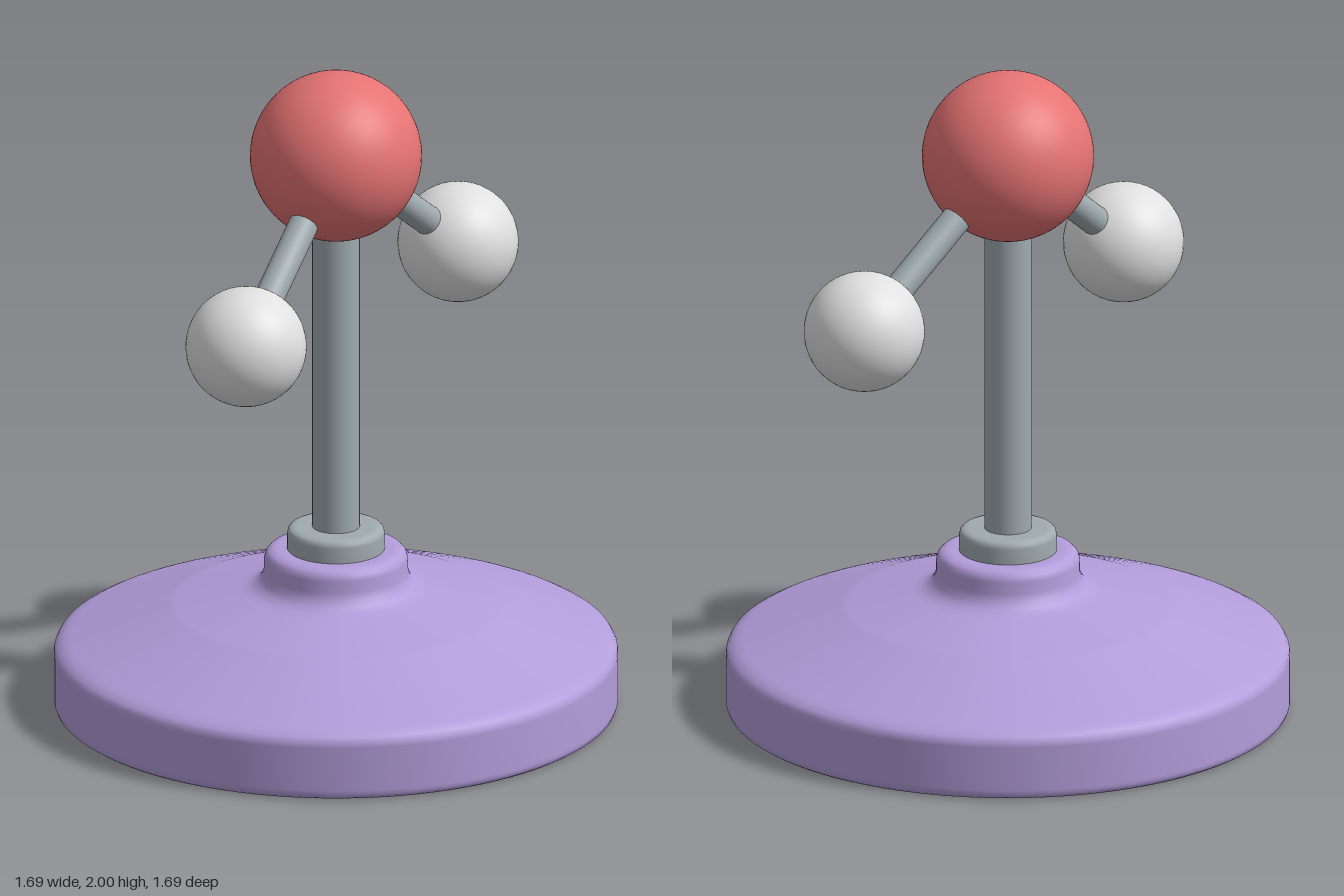
import * as THREE from 'three';

const mat = (name, color) => new THREE.MeshStandardMaterial({ name, color });

export function createModel() {
  const model = new THREE.Group();
  model.name = 'moleculeOnStand';

  const purple = mat('purple', 0xb39ddb);
  const metal = mat('metalGrey', 0xa0abb0);
  const red = mat('red', 0xe57373);
  const white = mat('white', 0xe0e0e0);

  const add = (name, geometry, material, position = [0, 0, 0]) => {
    const mesh = new THREE.Mesh(geometry, material);
    mesh.name = name;
    mesh.position.set(...position);
    model.add(mesh);
    return mesh;
  };
  const lathe = (points) =>
    new THREE.LatheGeometry(points.map(([r, y]) => new THREE.Vector2(r, y)), 96);

  // Wide base with a soft rim, sloping shoulder and short neck
  add('base', lathe([
    [0, 0], [0.82, 0], [0.83, 0.002], [0.839, 0.008], [0.843, 0.02],
    [0.843, 0.03], [0.843, 0.165], [0.841, 0.18], [0.832, 0.195], [0.81, 0.207],
    [0.79, 0.215], [0.5, 0.319], [0.48, 0.325], [0.285, 0.37], [0.26, 0.377],
    [0.237, 0.389], [0.222, 0.407], [0.215, 0.43], [0.215, 0.465],
    [0.21, 0.482], [0.199, 0.493], [0.182, 0.498], [0.17, 0.498], [0, 0.498],
  ]), purple);

  // Collar holding the post
  add('collar', lathe([
    [0, 0.49], [0.146, 0.49], [0.146, 0.5], [0.146, 0.545], [0.143, 0.557],
    [0.136, 0.564], [0.125, 0.567], [0.115, 0.567], [0, 0.567],
  ]), metal);

  // Upright post, ending inside the large ball
  add('post', new THREE.CylinderGeometry(0.071, 0.071, 1.15, 48), metal, [0, 1.125, 0]);

  // Large central ball
  const centre = new THREE.Vector3(0, 1.743, 0);
  add('largeBall', new THREE.SphereGeometry(0.257, 64, 48), red, centre.toArray());

  // Two small balls, each joined to the centre by a rod
  const up = new THREE.Vector3(0, 1, 0);
  for (const [side, x, z] of [['right', -0.503, 0.245], ['left', 0.544, -0.137]]) {
    const end = new THREE.Vector3(x, 1.315, z);
    add(side + 'SmallBall', new THREE.SphereGeometry(0.181, 48, 32), white, end.toArray());
    const span = end.clone().sub(centre);
    const middle = centre.clone().add(end).multiplyScalar(0.5);
    const rod = add(side + 'Rod',
      new THREE.CylinderGeometry(0.045, 0.045, span.length(), 32), metal, middle.toArray());
    rod.quaternion.setFromUnitVectors(up, span.normalize());
  }

  return model;
}
